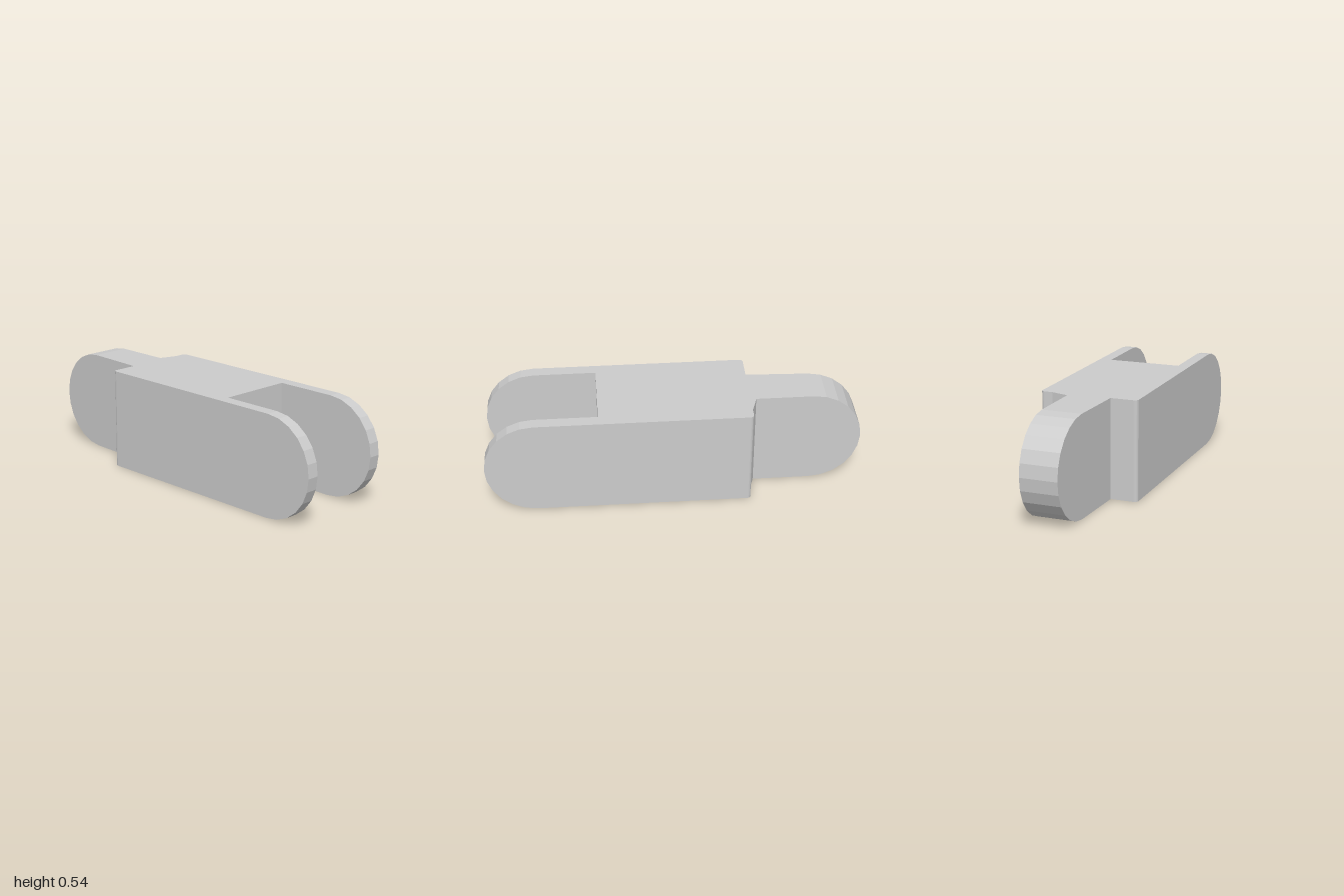
import * as THREE from 'three';

const H = 0.535, R = H / 2, END = 1 - R;
const OUTER = 0.265, INNER = 0.2, FILLET = 0.02, NECK = 0.4;
const TONGUE_BACK = -0.105, TONGUE_TIP = 0.095, TONGUE_ROOT = 0.12;

const material = new THREE.MeshStandardMaterial({ color: 0xcccccc, flatShading: true });

// Plate with a half-round end towards +x, spanning z0 to z1
function roundedPlate(z0, z1) {
  const shape = new THREE.Shape();
  shape.moveTo(NECK, 0);
  shape.lineTo(END, 0);
  shape.absarc(END, R, R, -Math.PI / 2, Math.PI / 2, false);
  shape.lineTo(NECK, H);
  shape.closePath();
  const geo = new THREE.ExtrudeGeometry(shape, { depth: z1 - z0, bevelEnabled: false, curveSegments: 6 });
  return geo.translate(0, 0, z0);
}

function addMesh(group, name, geo) {
  const mesh = new THREE.Mesh(geo, material);
  mesh.name = name;
  group.add(mesh);
}

export function createModel() {
  const group = new THREE.Group();
  group.name = 'chainLink';

  // Central block from its plan outline, with filleted corners and a sloped rear shoulder
  const plan = new THREE.Shape();
  plan.moveTo(NECK, -OUTER);
  plan.lineTo(NECK, OUTER);
  plan.lineTo(-NECK + FILLET, OUTER);
  plan.absarc(-NECK + FILLET, OUTER - FILLET, FILLET, Math.PI / 2, Math.PI, false);
  plan.lineTo(-NECK, INNER);
  plan.lineTo(-NECK - 0.03, -TONGUE_BACK);
  plan.lineTo(-NECK, -TONGUE_BACK);
  plan.lineTo(-NECK, -OUTER + FILLET);
  plan.absarc(-NECK + FILLET, -OUTER + FILLET, FILLET, Math.PI, Math.PI * 1.5, false);
  plan.closePath();
  const block = new THREE.ExtrudeGeometry(plan, { depth: H, bevelEnabled: false, curveSegments: 3 });
  addMesh(group, 'block', block.rotateX(-Math.PI / 2));

  // Fork cheeks
  addMesh(group, 'frontCheek', roundedPlate(INNER, OUTER));
  addMesh(group, 'backCheek', roundedPlate(-OUTER, -INNER));

  // Tongue: a plate turned to -x, its front face tapering towards the tip
  const tongue = roundedPlate(-1, 1).rotateY(Math.PI);
  const pos = tongue.attributes.position;
  for (let i = 0; i < pos.count; i++) {
    const t = (pos.getX(i) + 1) / (1 - NECK);
    pos.setZ(i, pos.getZ(i) > 0 ? THREE.MathUtils.lerp(TONGUE_TIP, TONGUE_ROOT, t) : TONGUE_BACK);
  }
  tongue.computeVertexNormals();
  addMesh(group, 'tongue', tongue);

  return group;
}
